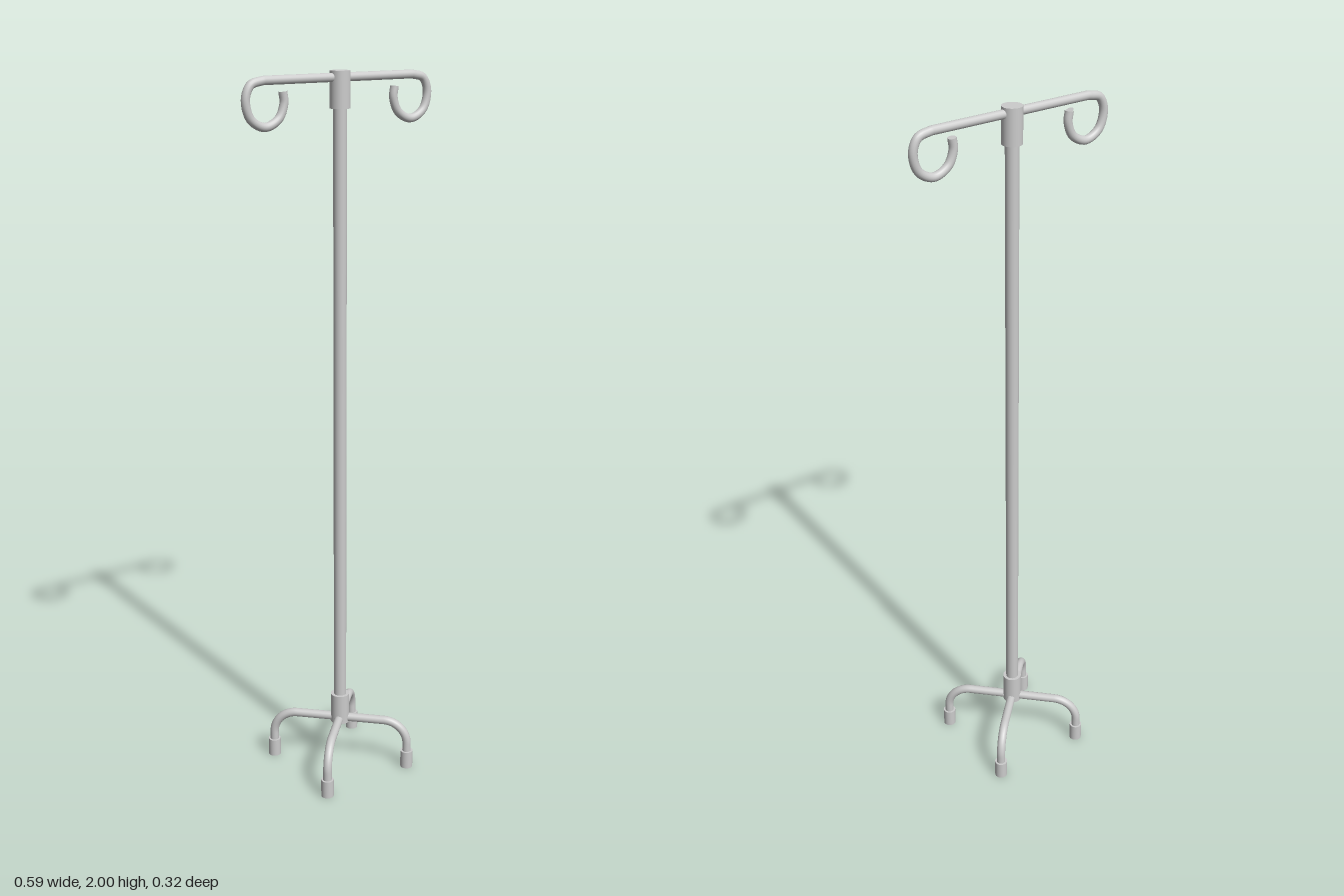
import * as THREE from 'three';

export function createModel() {
  const group = new THREE.Group();
  const material = new THREE.MeshStandardMaterial({ color: 0xcccccc });

  const add = (name, geometry, parent = group) => {
    const mesh = new THREE.Mesh(geometry, material);
    mesh.name = name;
    parent.add(mesh);
    return mesh;
  };
  const cylinder = (name, r, y0, y1, parent) => {
    const mesh = add(name, new THREE.CylinderGeometry(r, r, y1 - y0, 32), parent);
    mesh.position.y = (y0 + y1) / 2;
    return mesh;
  };
  // Bent round rod, closed by a flat disc at its far end
  const rod = (name, curve, r, segments, parent) => {
    add(name, new THREE.TubeGeometry(curve, segments, r, 16), parent);
    const cap = add(name + 'End', new THREE.CircleGeometry(r, 16), parent);
    const end = curve.getPoint(1);
    cap.position.copy(end);
    cap.lookAt(end.clone().add(curve.getTangent(1)));
  };
  const v = (x, y) => new THREE.Vector3(x, y, 0);

  // Upright pole and its two collars
  cylinder('pole', 0.018, 0.15, 1.98);
  cylinder('topCollar', 0.027, 1.905, 2);
  cylinder('baseCollar', 0.027, 0.132, 0.222);

  // Two hanging hooks, curled in below the crossbar
  for (const [name, turn] of [['leftHook', 0], ['rightHook', Math.PI]]) {
    const hook = new THREE.Group();
    hook.name = name;
    hook.rotation.y = turn;
    group.add(hook);
    const path = new THREE.CurvePath();
    path.add(new THREE.LineCurve3(v(0, 1.983), v(0.232, 1.983)));
    path.add(new THREE.CatmullRomCurve3([
      v(0.232, 1.983), v(0.268, 1.973), v(0.283, 1.938), v(0.269, 1.89),
      v(0.228, 1.869), v(0.187, 1.888), v(0.171, 1.925), v(0.174, 1.955),
    ]));
    rod('hookRod', path, 0.0115, 80, hook);
  }

  // Four bent legs on the diagonals, each with a rubber foot
  for (let i = 0; i < 4; i++) {
    const leg = new THREE.Group();
    leg.name = 'leg' + (i + 1);
    leg.rotation.y = Math.PI / 4 + i * Math.PI / 2;
    group.add(leg);
    const path = new THREE.CurvePath();
    const k = 0.07 * 0.448;
    path.add(new THREE.LineCurve3(v(0, 0.145), v(0.13, 0.145)));
    path.add(new THREE.CubicBezierCurve3(
      v(0.13, 0.145), v(0.2 - k, 0.145), v(0.2, 0.075 + 0.07 - k), v(0.2, 0.075)));
    path.add(new THREE.LineCurve3(v(0.2, 0.075), v(0.2, 0.03)));
    rod('legTube', path, 0.0125, 48, leg);
    cylinder('foot', 0.018, 0, 0.052, leg).position.x = 0.2;
  }
  return group;
}
